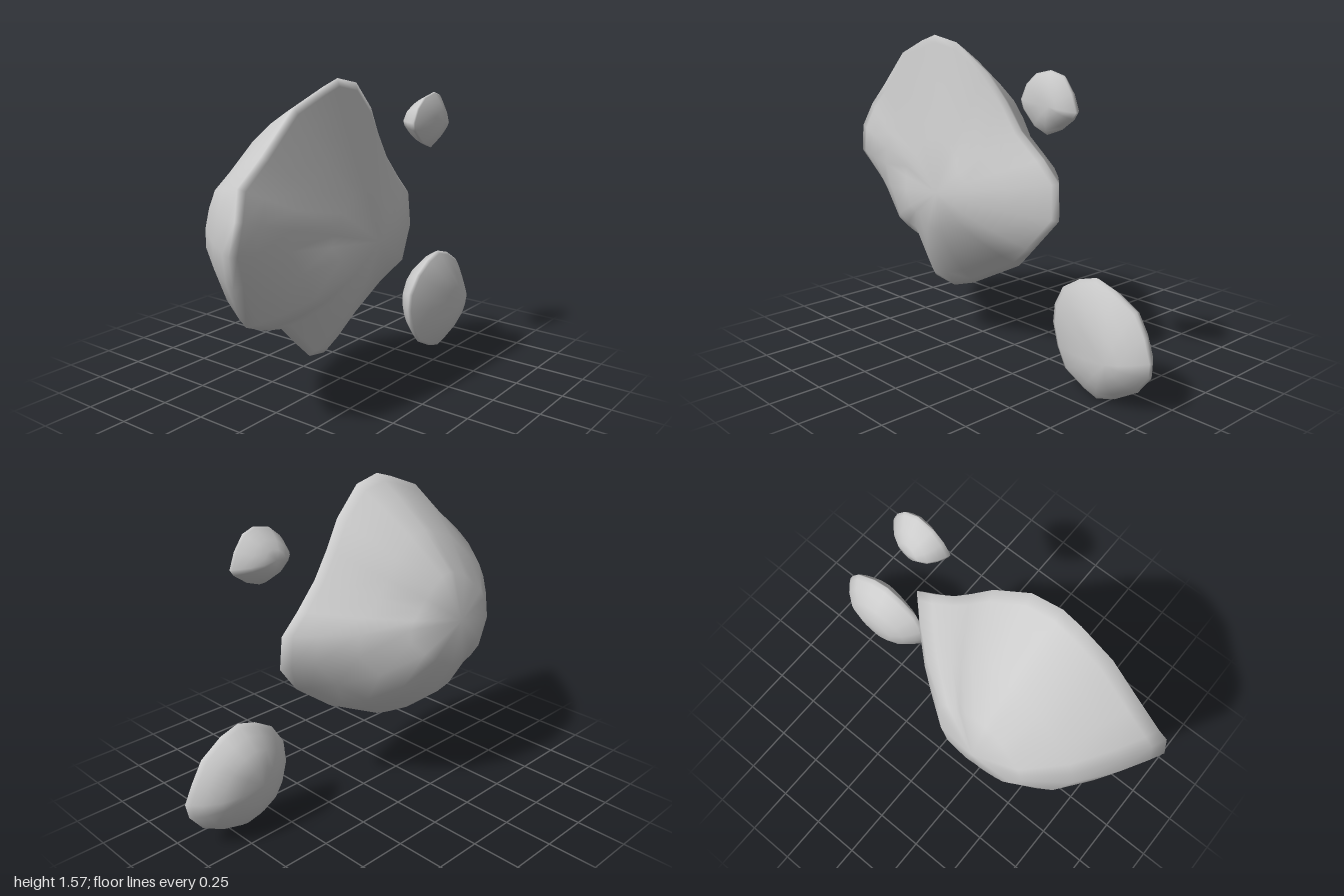
import * as THREE from 'three';

const material = new THREE.MeshStandardMaterial({ color: 0xcccccc });

// A rock is a closed rim (counter-clockwise) domed to a front and a back peak.
// Each rim row is x, y, z, then how full the dome is on the front and the back.
function makeRock(name, { front, back, rim }) {
  const n = rim.length;
  const positions = [...front];
  const addRing = (peak, column, s) => {
    for (const row of rim) {
      const [x, y, z] = row;
      positions.push(
        peak[0] + (x - peak[0]) * s,
        peak[1] + (y - peak[1]) * s,
        peak[2] + (z - peak[2]) * Math.pow(s, row[column])
      );
    }
  };
  const steps = [0.36, 0.64, 0.84, 0.95];
  for (const s of steps) addRing(front, 3, s);
  addRing(front, 3, 1);
  for (const s of [...steps].reverse()) addRing(back, 4, s);
  positions.push(...back);

  const rings = steps.length * 2 + 1;
  const last = positions.length / 3 - 1;
  const index = [];
  for (let i = 0; i < n; i++) {
    const k = (i + 1) % n;
    index.push(0, 1 + i, 1 + k);
    for (let j = 0; j < rings - 1; j++) {
      const a = 1 + j * n, c = a + n;
      index.push(a + i, c + i, c + k, a + i, c + k, a + k);
    }
    const e = 1 + (rings - 1) * n;
    index.push(e + i, last, e + k);
  }
  const geometry = new THREE.BufferGeometry();
  geometry.setAttribute('position', new THREE.Float32BufferAttribute(positions, 3));
  geometry.setIndex(index);
  geometry.computeVertexNormals();
  const mesh = new THREE.Mesh(geometry, material);
  mesh.name = name;
  return mesh;
}

// Large boulder with a shallow front ridge and a deep rounded back.
const large = {
  front: [-0.17, 0.83, 0.36],
  back: [-0.32, 0.94, -0.355],
  rim: [
    [0.43, 0.76, 0.13, 1.7, 1.75], [0.42, 0.93, 0.12, 1.7, 1.6],
    [0.32, 1.03, 0.12, 1.8, 1.5], [0.19, 1.15, 0.14, 1.8, 1.5],
    [0.1, 1.28, 0.15, 1.5, 1.6], [0, 1.41, 0.18, 1.2, 1.7],
    [-0.17, 1.54, 0.22, 0.95, 1.8], [-0.32, 1.57, 0.23, 0.9, 1.85],
    [-0.42, 1.54, 0.23, 0.95, 1.85], [-0.6, 1.47, 0.22, 1.1, 1.95],
    [-0.79, 1.29, 0.21, 1.25, 2.1], [-0.92, 1.18, 0.2, 1.4, 2.2],
    [-0.97, 1.06, 0.23, 1.1, 2.4], [-1, 0.92, 0.22, 1.15, 2.45],
    [-0.91, 0.75, 0.15, 2.4, 3], [-0.79, 0.54, 0.1, 3, 3],
    [-0.67, 0.49, 0.1, 3, 3.2], [-0.57, 0.47, 0.11, 3, 3.4],
    [-0.44, 0.31, 0.16, 2.3, 3.1], [-0.31, 0.28, 0.14, 2, 3],
    [-0.2, 0.31, 0.1, 2, 3.2], [-0.02, 0.4, 0.1, 2, 3.3],
    [0.14, 0.48, 0.1, 2, 3.2], [0.3, 0.6, 0.17, 1.6, 2.6],
  ],
};

// Medium pebble, nearly round from the front.
const medium = {
  front: [0.81, 0.22, 0.237],
  back: [0.66, 0.28, -0.003],
  rim: [
    [1, 0.26, 0.15, 2.1, 3.5], [0.96, 0.36, 0.14, 2.2, 3.5],
    [0.9, 0.46, 0.14, 2.4, 3.5], [0.78, 0.53, 0.15, 2.5, 3.5],
    [0.68, 0.56, 0.15, 2.5, 3.5], [0.58, 0.53, 0.15, 2.4, 3.3],
    [0.48, 0.47, 0.15, 2.1, 2.9], [0.42, 0.37, 0.14, 1.9, 2.6],
    [0.41, 0.28, 0.14, 1.85, 2.5], [0.44, 0.17, 0.14, 1.9, 2.5],
    [0.5, 0.08, 0.15, 2, 2.7], [0.62, 0.02, 0.15, 2.1, 2.9],
    [0.7, 0, 0.155, 2.2, 2.9], [0.8, 0.03, 0.15, 2.2, 3],
    [0.92, 0.1, 0.14, 2.2, 3.2], [0.99, 0.19, 0.14, 2.1, 3.4],
  ],
};

// Small pebble near the top.
const small = {
  front: [0.5, 1.3, 0.277],
  back: [0.44, 1.31, 0.108],
  rim: [
    [0.62, 1.28, 0.22, 2.5, 2.2], [0.59, 1.36, 0.22, 2.4, 2.2],
    [0.54, 1.43, 0.22, 2.3, 2], [0.47, 1.45, 0.23, 2.3, 2],
    [0.38, 1.43, 0.23, 2.1, 2.3], [0.32, 1.38, 0.23, 1.8, 3],
    [0.285, 1.31, 0.23, 1.6, 3.4], [0.3, 1.27, 0.23, 1.7, 3.3],
    [0.37, 1.2, 0.23, 2.2, 3], [0.45, 1.17, 0.23, 2.6, 2.8],
    [0.53, 1.2, 0.22, 2.6, 2.6], [0.6, 1.25, 0.22, 2.5, 2.3],
  ],
};

export function createModel() {
  const model = new THREE.Group();
  model.name = 'rocks';
  model.add(
    makeRock('largeRock', large),
    makeRock('mediumRock', medium),
    makeRock('smallRock', small)
  );
  return model;
}
